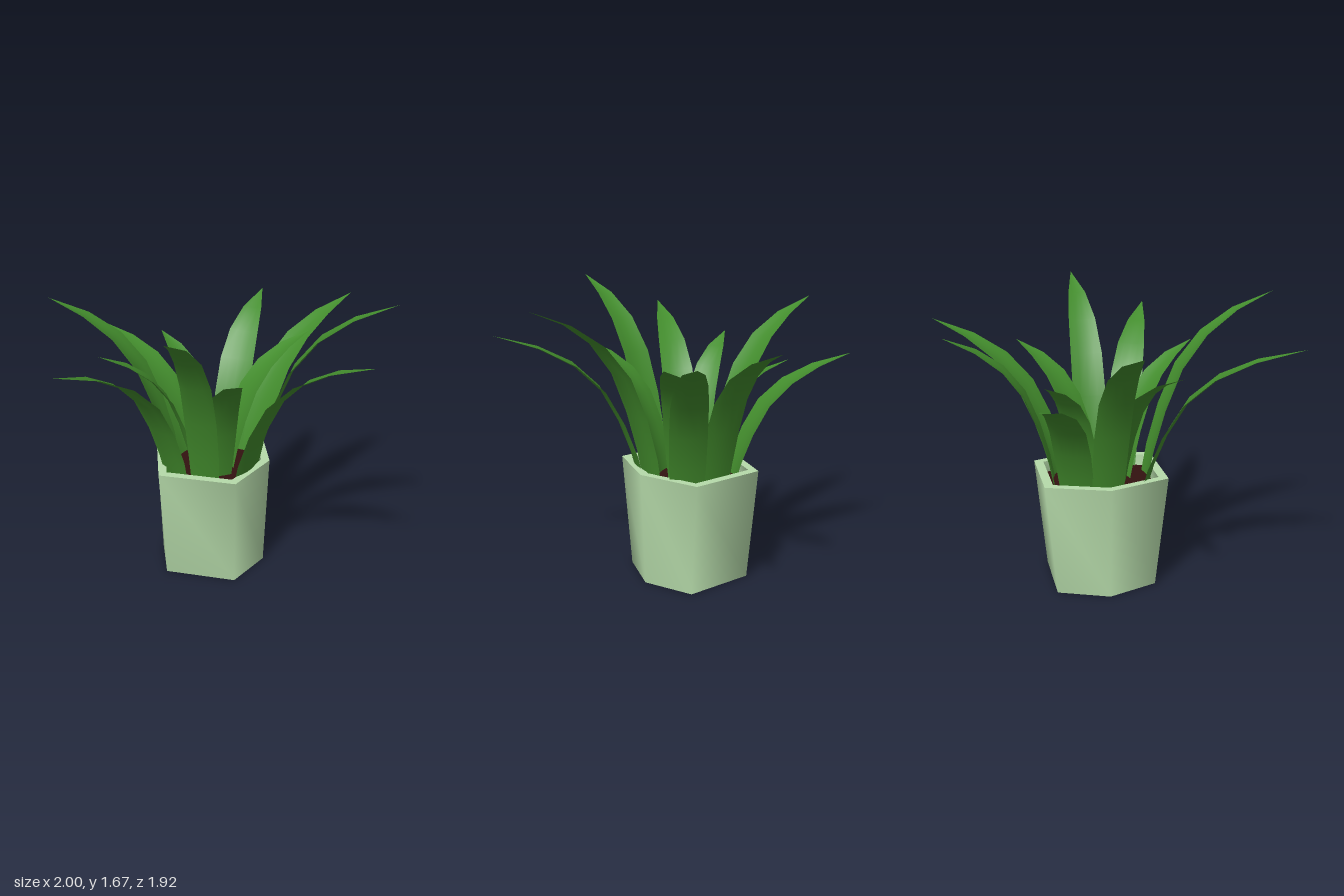
import * as THREE from 'three';
import { toCreasedNormals } from 'three/addons/utils/BufferGeometryUtils.js';

const POT_H = 0.665, SOIL_Y = 0.6;
const CX = -0.025, CZ = -0.063;

// Six-sided lathe: depth grows towards the rim, and the four front and back
// corners sit further out, so the front and back faces are the widest
function hexLathe(profile) {
  const points = profile.map(([r, y]) => new THREE.Vector2(r, y));
  const geo = new THREE.LatheGeometry(points, 6, Math.PI / 2);
  const pos = geo.attributes.position;
  for (let i = 0; i < pos.count; i++) {
    if (Math.abs(pos.getZ(i)) > 0.01) pos.setX(i, pos.getX(i) * 1.3);
    pos.setZ(i, pos.getZ(i) * (1.053 + 0.137 * pos.getY(i) / POT_H));
  }
  return toCreasedNormals(geo, 1.35);
}

// Leaf sections: [share of reach, share of rise, share of width]
const SECTIONS = [
  [0, 0, 0.88], [0.05, 0.18, 0.97], [0.14, 0.40, 1], [0.27, 0.62, 0.96],
  [0.46, 0.79, 0.82], [0.70, 0.91, 0.53], [1, 1, 0],
];
const ACROSS = [-1, -0.5, 0, 0.5, 1];

// Arching blade, slightly cupped towards the top side
function leafGeometry([bx, bz, tx, ty, tz, half]) {
  const base = new THREE.Vector3(bx, SOIL_Y - 0.03, bz);
  const out = new THREE.Vector3(tx - bx, 0, tz - bz);
  const reach = out.length();
  out.normalize();
  const side = new THREE.Vector3(out.z, 0, -out.x);
  const rise = ty - base.y;
  const positions = [], index = [];
  const n = ACROSS.length, last = SECTIONS.length - 1;
  SECTIONS.forEach(([u, v, w], i) => {
    // cup along the outward direction of the underside
    const a = SECTIONS[Math.max(i - 1, 0)], b = SECTIONS[Math.min(i + 1, last)];
    const du = (b[0] - a[0]) * reach, dv = (b[1] - a[1]) * rise, len = Math.hypot(du, dv);
    for (const s of ACROSS) {
      const cup = 0.014 * w * (0.4 - s * s);
      const p = base.clone()
        .addScaledVector(out, u * reach + cup * dv / len)
        .addScaledVector(side, s * w * half);
      p.y += v * rise - cup * du / len;
      positions.push(p.x, p.y, p.z);
    }
  });
  // upper side faces up and towards the middle
  for (let i = 0; i < last; i++) {
    for (let j = 0; j < n - 1; j++) {
      const a = i * n + j, b = a + 1, c = a + n, d = c + 1;
      index.push(a, b, c);
      if (i < last - 1) index.push(b, d, c);
    }
  }
  const geo = new THREE.BufferGeometry();
  geo.setAttribute('position', new THREE.Float32BufferAttribute(positions, 3));
  geo.setIndex(index);
  geo.computeVertexNormals();
  return geo;
}

// Base x, z; tip x, y, z; half width
const OUTER = [
  [0.00, -0.325, 0.08, 1.46, -0.93, 0.11],
  [0.15, -0.27, 0.64, 1.46, -0.96, 0.105],
  [0.235, -0.055, 1.00, 1.655, -0.05, 0.1],
  [0.20, 0.11, 0.945, 1.455, 0.415, 0.1],
  [0.005, 0.215, 0.005, 1.67, 0.957, 0.09],
  [-0.18, 0.17, -0.56, 1.455, 0.95, 0.1],
  [-0.255, -0.06, -1.00, 1.56, -0.04, 0.1],
  [-0.21, -0.23, -0.865, 1.29, -0.52, 0.105],
];
const INNER = [
  [0.05, -0.11, 0.465, 1.35, -0.475, 0.1],
  [0.04, 0.08, 0.283, 1.345, 0.56, 0.095],
  [-0.12, 0.01, -0.585, 1.34, 0.28, 0.09],
  [-0.09, -0.16, -0.445, 1.29, -0.435, 0.095],
];

export function createModel() {
  const group = new THREE.Group();
  group.name = 'pottedPlant';
  const potMat = new THREE.MeshStandardMaterial({ color: 0xb6dbaa });
  const soilMat = new THREE.MeshStandardMaterial({ color: 0x331210 });
  const leafMat = new THREE.MeshStandardMaterial({ color: 0x438d2d, side: THREE.DoubleSide });

  // Pot: closed base, tapered wall, flat rim and inner wall
  const pot = new THREE.Mesh(hexLathe([
    [0, 0], [0.318, 0], [0.345, POT_H], [0.295, POT_H], [0.29, SOIL_Y - 0.03],
  ]), potMat);
  pot.name = 'pot';
  pot.position.set(CX, 0, CZ);
  group.add(pot);

  // Soil disc inside the rim
  const soil = new THREE.Mesh(hexLathe([[0.293, SOIL_Y], [0, SOIL_Y]]), soilMat);
  soil.name = 'soil';
  soil.position.set(CX, 0, CZ);
  group.add(soil);

  // Two rings of leaves
  const addLeaves = (list, name) => list.forEach((spec, i) => {
    const leaf = new THREE.Mesh(leafGeometry(spec), leafMat);
    leaf.name = name + (i + 1);
    group.add(leaf);
  });
  addLeaves(OUTER, 'outerLeaf');
  addLeaves(INNER, 'innerLeaf');
  return group;
}
